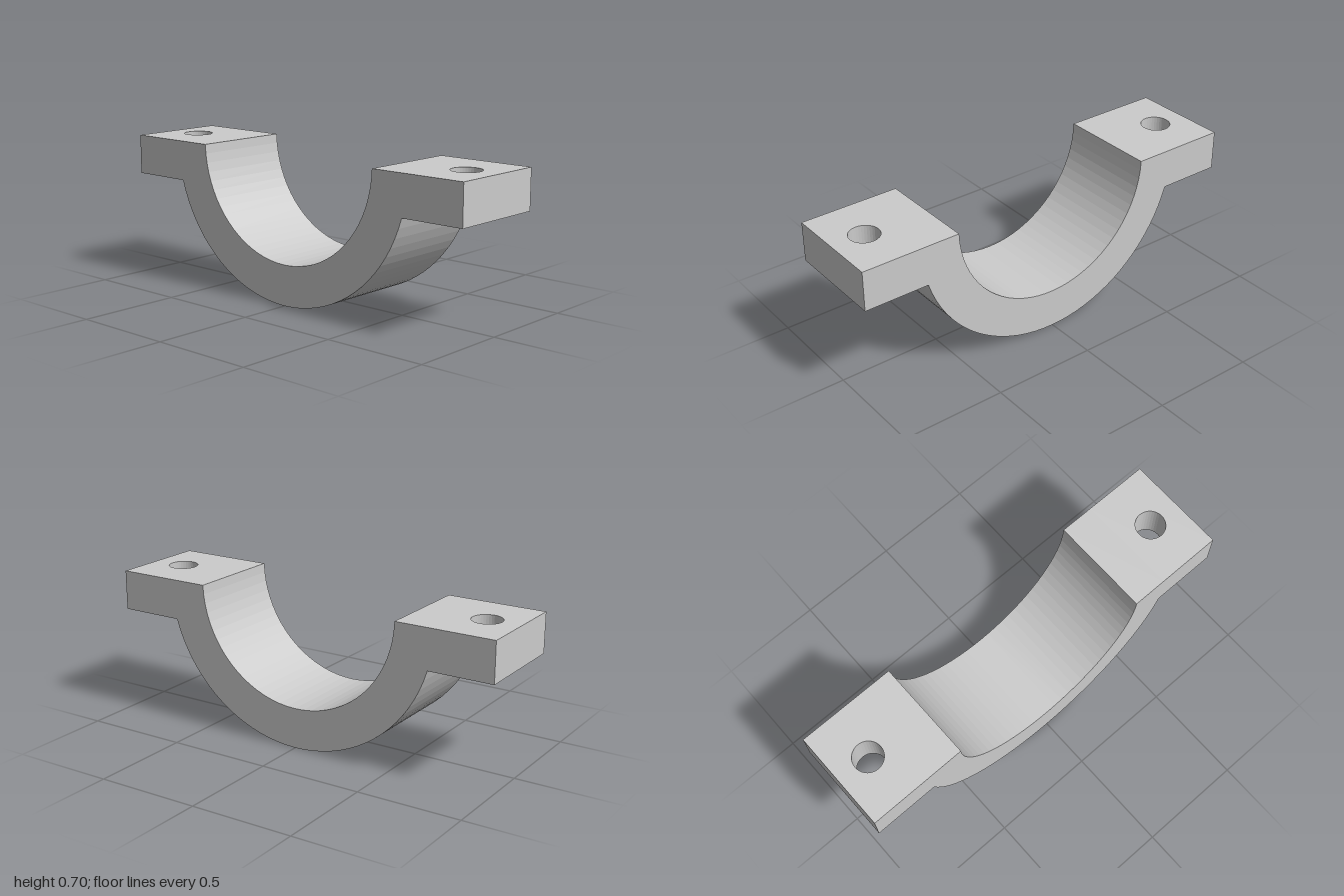
import * as THREE from 'three';

const TOP = 0.703, UNDER = 0.51;          // flange top and underside
const CENTRE = 0.715, R_IN = 0.52, R_OUT = 0.715;
const HALF_DEPTH = 0.245;
const outerDip = Math.asin((CENTRE - UNDER) / R_OUT);
const innerDip = Math.asin((CENTRE - TOP) / R_IN);
const SEAM = R_OUT * Math.cos(outerDip);  // where the flanges join the saddle

// Drop the hidden walls where saddle and flanges meet
function openSeam(geometry) {
  const p = geometry.attributes.position, kept = [];
  for (let i = 0; i < p.count; i += 3) {
    const tri = [i, i + 1, i + 2];
    if (tri.every((k) => Math.abs(Math.abs(p.getX(k)) - SEAM) < 1e-5)) continue;
    for (const k of tri) kept.push(p.getX(k), p.getY(k), p.getZ(k));
  }
  const out = new THREE.BufferGeometry();
  out.setAttribute('position', new THREE.Float32BufferAttribute(kept, 3));
  out.computeVertexNormals();
  return out;
}

// Half-round strap with square shoulders, extruded along z
function saddleGeometry() {
  const s = new THREE.Shape();
  s.absarc(0, CENTRE, R_OUT, Math.PI + outerDip, 2 * Math.PI - outerDip, false);
  s.lineTo(SEAM, TOP);
  s.absarc(0, CENTRE, R_IN, 2 * Math.PI - innerDip, Math.PI + innerDip, true);
  s.lineTo(-SEAM, TOP);
  s.closePath();
  const g = new THREE.ExtrudeGeometry(s, { depth: 2 * HALF_DEPTH, bevelEnabled: false, curveSegments: 18 });
  return openSeam(g.translate(0, 0, -HALF_DEPTH));
}

// Flat flange with a bolt hole, extruded upwards
function flangeGeometry() {
  const s = new THREE.Shape();
  s.moveTo(SEAM, -HALF_DEPTH);
  s.lineTo(1, -HALF_DEPTH);
  s.lineTo(1, HALF_DEPTH);
  s.lineTo(SEAM, HALF_DEPTH);
  s.closePath();
  s.holes.push(new THREE.Path().absarc(0.837, 0, 0.071, 0, 2 * Math.PI, true));
  const g = new THREE.ExtrudeGeometry(s, { depth: TOP - UNDER, bevelEnabled: false, curveSegments: 18 });
  return openSeam(g.rotateX(-Math.PI / 2).translate(0, UNDER, 0));
}

export function createModel() {
  const model = new THREE.Group();
  model.name = 'pipeClamp';
  const material = new THREE.MeshStandardMaterial({ color: 0xcccccc, flatShading: true });
  const add = (name, geometry, turn = 0) => {
    const mesh = new THREE.Mesh(geometry, material);
    mesh.name = name;
    mesh.rotation.y = turn;
    model.add(mesh);
  };
  const flange = flangeGeometry();
  add('saddle', saddleGeometry());
  add('leftFlange', flange);
  add('rightFlange', flange, Math.PI);
  return model;
}
